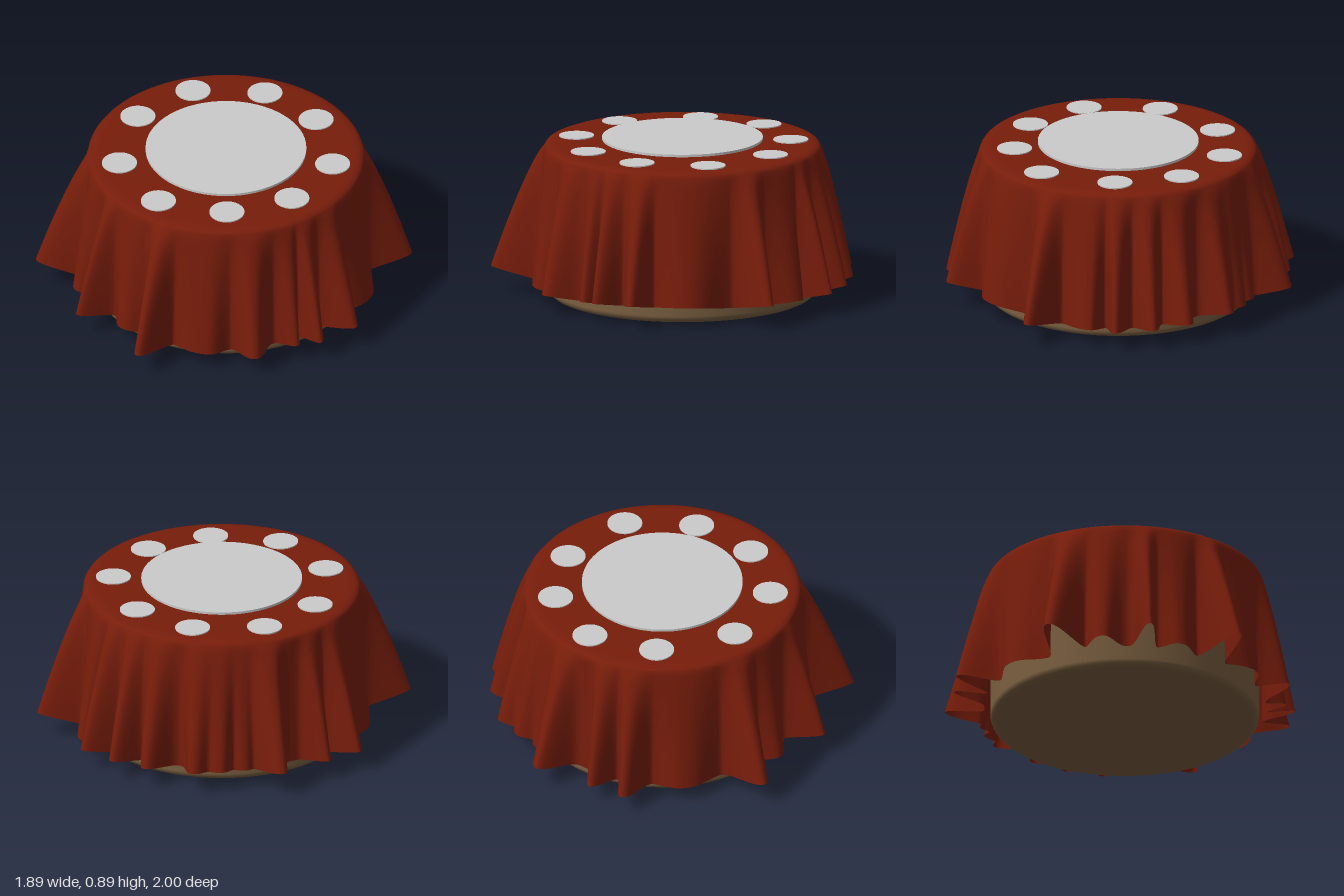
import * as THREE from 'three';

const CX = 0.01, CZ = -0.06; // table axis

// Cloth folds: angle in degrees (from +x towards +z), hem radius, width before and after the ridge
const FOLDS = [
  [0, 0.86, 11, 11], [19.5, 0.97, 4, 4.5], [33.5, 0.94, 4.5, 2.2], [40.5, 0.88, 2.5, 4],
  [57, 0.93, 5.5, 5], [74, 0.85, 6, 13], [95, 1.05, 4.5, 3.5], [110, 0.84, 6, 6],
  [123.5, 0.98, 3, 3.5], [140, 0.87, 5, 6], [156, 1.04, 5.5, 4.5], [180, 0.84, 10, 9],
  [202, 0.98, 5.5, 3], [214, 0.94, 4.5, 3], [232.5, 1.0, 4, 6.5], [244, 0.85, 5, 5],
  [253, 0.89, 5, 7], [262.5, 0.935, 6, 4], [279.5, 0.94, 5, 4.5], [292, 0.955, 4, 4],
  [305, 0.97, 4.5, 2.4], [314, 0.88, 3.5, 9], [333.5, 1.02, 4, 4.5],
];
const SKIRT_R = 0.765, SKIRT_TOP = 0.832;

// Outward push of the folds at an angle; folds start broad and narrow towards the hem
function foldDepth(deg, t) {
  let sum = 0;
  for (const [angle, radius, before, after] of FOLDS) {
    const d = ((deg - angle + 540) % 360) - 180;
    const w = (d < 0 ? before : after) * (1.25 - 0.25 * t);
    sum += ((radius - SKIRT_R) * Math.exp(-(Math.abs(d / w) ** 2.4))) ** 4;
  }
  return sum ** 0.25;
}

// Flat top, rounded shoulder and flared, pleated skirt as one surface of rings
function clothGeometry() {
  const segments = 600, skirtRows = 28;
  const top = [[0, 0.859], [0.35, 0.859], [0.62, 0.859], [0.7, 0.858], [0.735, 0.854], [0.755, 0.846]];
  const rows = top.length + skirtRows + 1;
  const positions = [], indices = [];
  for (let j = 0; j < segments; j++) {
    const deg = (j / segments) * 360, a = THREE.MathUtils.degToRad(deg);
    const hem = 0.085 + 0.22 * foldDepth(deg, 1) + 0.012 * Math.sin(a * 3 + 1);
    for (let i = 0; i < rows; i++) {
      let r, y;
      if (i < top.length) {
        [r, y] = top[i];
      } else {
        const t = (i - top.length) / skirtRows;
        r = SKIRT_R + 0.012 * t + foldDepth(deg, t) * t ** 0.78;
        y = THREE.MathUtils.lerp(SKIRT_TOP, hem, t);
      }
      positions.push(CX + r * Math.cos(a), y, CZ + r * Math.sin(a));
      if (i < rows - 1) {
        const p = j * rows + i, q = ((j + 1) % segments) * rows + i;
        if (i > 0) indices.push(p, q, p + 1);
        indices.push(q, q + 1, p + 1);
      }
    }
  }
  const geometry = new THREE.BufferGeometry();
  geometry.setAttribute('position', new THREE.Float32BufferAttribute(positions, 3));
  geometry.setIndex(indices);
  geometry.computeVertexNormals();
  return geometry;
}

export function createModel() {
  const group = new THREE.Group();
  const clothMat = new THREE.MeshStandardMaterial({ color: 0x781d0b, side: THREE.DoubleSide });
  const woodMat = new THREE.MeshStandardMaterial({ color: 0x7a5f40 });
  const plateMat = new THREE.MeshStandardMaterial({ color: 0xcccccc });

  const add = (name, geometry, material, x, y, z) => {
    const mesh = new THREE.Mesh(geometry, material);
    mesh.name = name;
    mesh.position.set(x, y, z);
    group.add(mesh);
  };
  const disc = (name, r, bottom, topY, x, z, material) =>
    add(name, new THREE.CylinderGeometry(r, r, topY - bottom, 64), material, x, (bottom + topY) / 2, z);

  // Solid round table body with rounded edges
  const R = 0.743, H = 0.845, bevel = 0.04;
  const profile = [new THREE.Vector2(0, 0)];
  for (const [centreY, start] of [[bevel, -Math.PI / 2], [H - bevel, 0]]) {
    for (let i = 0; i <= 6; i++) {
      const a = start + (i / 6) * Math.PI / 2;
      profile.push(new THREE.Vector2(R - bevel + bevel * Math.cos(a), centreY + bevel * Math.sin(a)));
    }
  }
  profile.push(new THREE.Vector2(0, H));
  add('tableBody', new THREE.LatheGeometry(profile, 96), woodMat, CX, 0, CZ);

  add('tablecloth', clothGeometry(), clothMat, 0, 0, 0);

  // Raised turntable in the middle
  disc('turntableHub', 0.11, 0.852, 0.877, CX, CZ, woodMat);
  disc('turntable', 0.445, 0.875, 0.889, CX, CZ, plateMat);

  // Ring of plates
  const plates = [
    [-0.01, -0.66], [0.35, -0.535], [0.6, -0.18], [0.52, 0.21], [0.24, 0.47],
    [-0.15, 0.52], [-0.49, 0.27], [-0.57, -0.18], [-0.385, -0.525],
  ];
  plates.forEach(([x, z], i) => disc(`plate${i + 1}`, 0.097, 0.854, 0.865, x, z, plateMat));

  return group;
}
